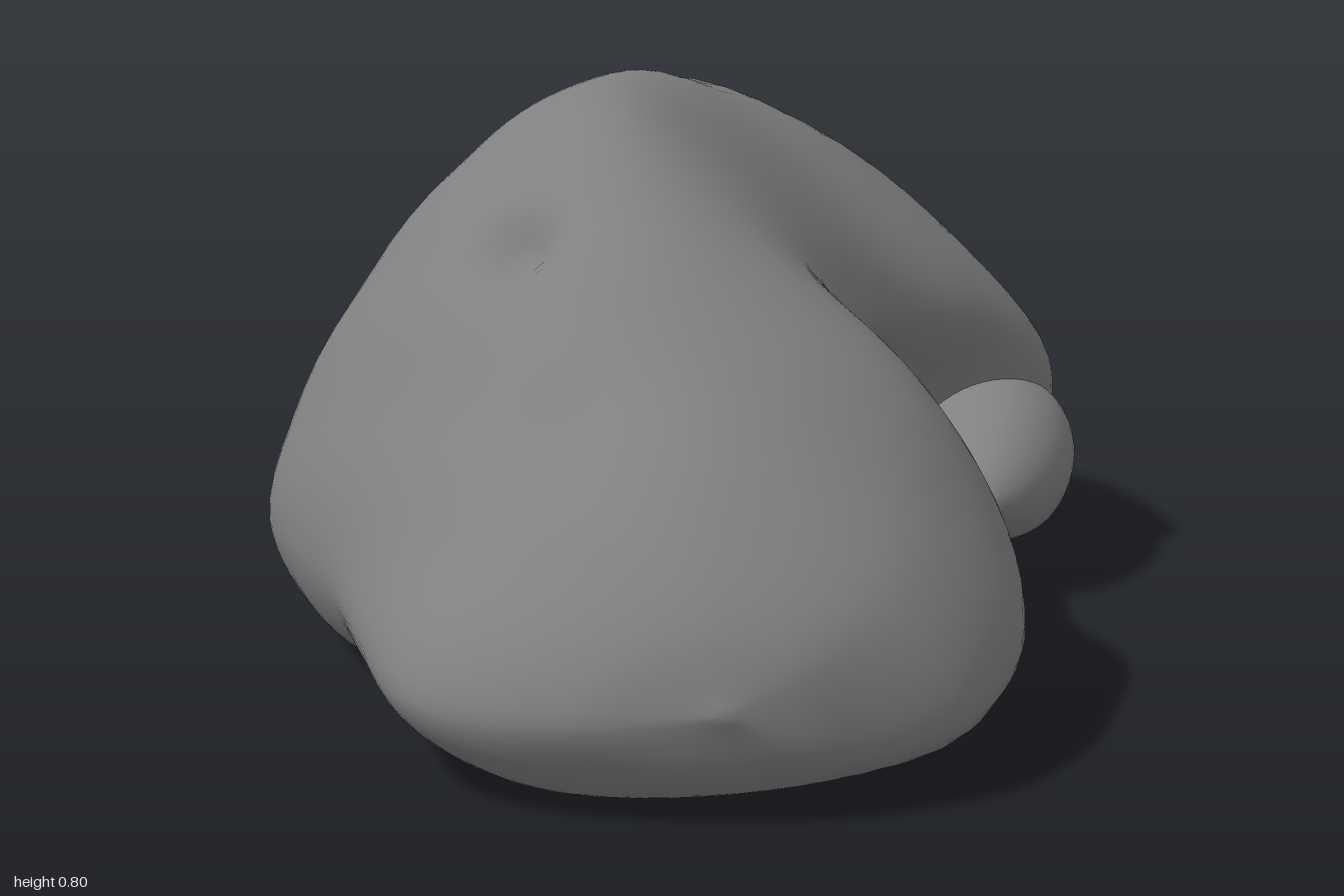
import * as THREE from 'three';
import { mergeVertices } from 'three/addons/utils/BufferGeometryUtils.js';

const SEG = 80, RINGS = 120;
const { lerp, clamp } = THREE.MathUtils;

// Cross-section at z: left edge, ridge, right flank, the hollow under it and
// the height of the lower left corner. Left edge height and shoulder follow.
function section(z, left, ridgeX, ridgeY, rightX, rightY, hollowX, hollowY, lowY = 0.03) {
  const leftY = 0.06 + 0.16 * ridgeY + 0.5 * lowY;
  return [
    [left, leftY],
    [lerp(left, ridgeX, 0.49), lerp(leftY, ridgeY, 0.8)],
    [ridgeX, ridgeY],
    [rightX, rightY],
    [hollowX, hollowY],
    [left + 0.14, lowY],
  ].map(([x, y]) => new THREE.Vector3(x, y, z));
}

// Point that closes the loft at one end
const tip = (x, y, z) => Array.from({ length: 6 }, () => new THREE.Vector3(x, y, z));

const sections = [
  tip(-0.01, 0.16, 1),
  section(0.96, -0.22, -0.02, 0.26, 0.1, 0.21, 0.12, 0.1, 0.07),
  section(0.85, -0.39, -0.02, 0.37, 0.21, 0.28, 0.3, 0.1),
  section(0.6, -0.47, -0.04, 0.53, 0.27, 0.39, 0.4, 0.13),
  section(0.4, -0.52, -0.07, 0.66, 0.26, 0.48, 0.39, 0.15),
  section(0.22, -0.59, -0.09, 0.75, 0.22, 0.46, 0.1, 0.15, 0.02),
  section(0.03, -0.615, -0.09, 0.8, 0.23, 0.45, -0.1, 0.22, 0.01),
  section(-0.16, -0.56, -0.06, 0.81, 0.31, 0.44, 0, 0.25),
  section(-0.27, -0.49, -0.02, 0.79, 0.46, 0.41, 0.24, 0.24, 0.09),
  section(-0.38, -0.38, 0.03, 0.77, 0.575, 0.33, 0.48, 0.11, 0.14),
  section(-0.56, -0.19, 0.16, 0.68, 0.56, 0.32, 0.5, 0.09, 0.05),
  section(-0.76, -0.03, 0.26, 0.54, 0.5, 0.29, 0.46, 0.08),
  section(-0.92, 0.11, 0.3, 0.35, 0.42, 0.23, 0.39, 0.09, 0.06),
  section(-0.98, 0.2, 0.31, 0.26, 0.37, 0.2, 0.36, 0.13, 0.1),
  tip(0.31, 0.17, -1),
];

// Shallow pits: centre and depth
const pits = [
  [-0.26, 0.64, 0.35, 0.04],
  [-0.39, 0.65, -0.1, 0.03],
  [-0.2, 0.45, 0.65, 0.012],
  [0.49, 0.3, -0.72, 0.02],
];

// Gently roughens a smooth surface and presses in the pits
function weather(source) {
  const geo = mergeVertices(source);
  geo.computeVertexNormals();
  const p = geo.attributes.position, n = geo.attributes.normal;
  const v = new THREE.Vector3(), d = new THREE.Vector3();
  for (let i = 0; i < p.count; i++) {
    v.fromBufferAttribute(p, i);
    d.fromBufferAttribute(n, i);
    let h = 0.003 * Math.sin(v.x * 15 + v.y * 9) * Math.sin(v.z * 14 - v.y * 11);
    for (const [x, y, z, depth] of pits) {
      const distSq = (v.x - x) ** 2 + (v.y - y) ** 2 + (v.z - z) ** 2;
      h -= depth * Math.exp(-400 * distSq);
    }
    v.addScaledVector(d, h);
    p.setXYZ(i, v.x, Math.max(v.y, 0), clamp(v.z, -1, 1));
  }
  geo.computeVertexNormals();
  return geo;
}

// Smooth closed loft: rails run front to back, rings run clockwise around
function loftBody() {
  const rails = sections[0].map((_, k) =>
    new THREE.CatmullRomCurve3(sections.map(s => s[k]), false, 'centripetal'));
  const pos = [], idx = [];
  for (let i = 0; i <= RINGS; i++) {
    const ring = new THREE.CatmullRomCurve3(rails.map(r => r.getPoint(i / RINGS)), true, 'centripetal');
    for (let j = 0; j < SEG; j++) pos.push(...ring.getPoint(j / SEG).toArray());
  }
  for (let i = 0; i < RINGS; i++) {
    for (let j = 0; j < SEG; j++) {
      const a = i * SEG + j, b = i * SEG + (j + 1) % SEG;
      idx.push(a, b, a + SEG, b, b + SEG, a + SEG);
    }
  }
  const geo = new THREE.BufferGeometry();
  geo.setAttribute('position', new THREE.Float32BufferAttribute(pos, 3));
  geo.setIndex(idx);
  return weather(geo);
}

// Rounded lobe that reaches forward from the rear end, narrowing to its tip
function hookLobe() {
  const geo = new THREE.SphereGeometry(1, 48, 32);
  geo.deleteAttribute('uv');
  geo.deleteAttribute('normal');
  geo.rotateX(Math.PI / 2);
  const p = geo.attributes.position;
  for (let i = 0; i < p.count; i++) {
    const z = p.getZ(i), taper = 1 - 0.1 * z;
    p.setXYZ(i, 0.48 + p.getX(i) * 0.13 * taper - 0.03 * z * z,
      0.19 + p.getY(i) * 0.12 * taper - 0.02 * z, -0.32 + z * 0.26);
  }
  return weather(geo);
}

export function createModel() {
  const group = new THREE.Group();
  group.name = 'curvedRock';
  const mat = new THREE.MeshStandardMaterial({ color: 0x808080 });
  for (const [name, geo] of [['body', loftBody()], ['hookLobe', hookLobe()]]) {
    const mesh = new THREE.Mesh(geo, mat);
    mesh.name = name;
    group.add(mesh);
  }
  return group;
}
